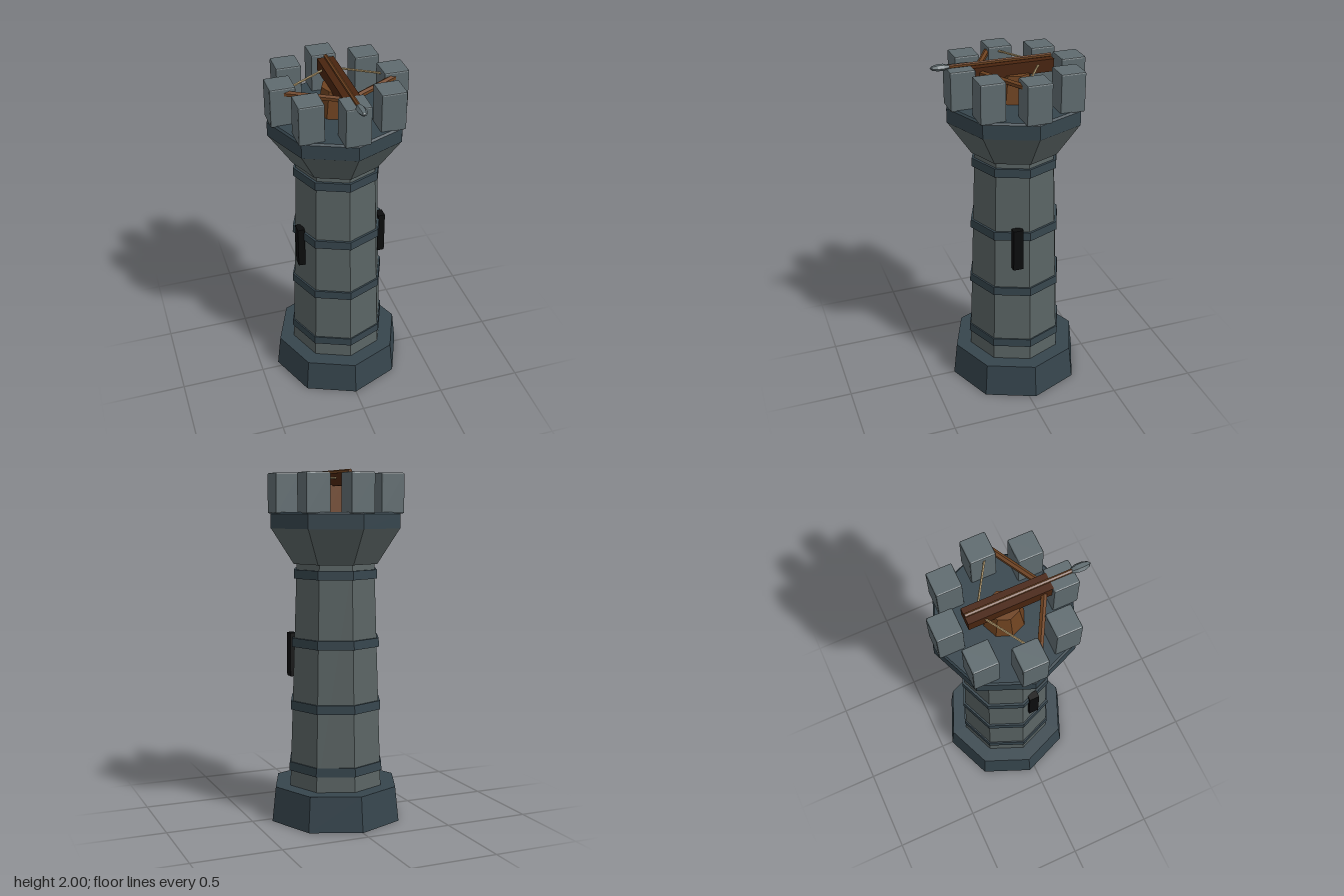
import * as THREE from 'three';
import { RoundedBoxGeometry } from 'three/addons/geometries/RoundedBoxGeometry.js';

const mat = (name, color) => {
  const m = new THREE.MeshStandardMaterial({ color, flatShading: true });
  m.name = name;
  return m;
};

export function createModel() {
  const stone = mat('stone', 0x5a6464);
  const paleStone = mat('pale stone', 0x5f6b6f);
  const slate = mat('dark slate', 0x36454d);
  const wood = mat('wood', 0x6e4220);
  const darkWood = mat('dark wood', 0x48240f);
  const rope = mat('rope', 0xc2a878);
  const black = mat('window black', 0x0b0c0d);

  const model = new THREE.Group();
  model.name = 'ballistaTower';
  // everything inside is laid out around the tower axis
  const tower = new THREE.Group();
  tower.name = 'tower';
  tower.position.z = -0.038;
  model.add(tower);

  const add = (name, geo, material, x = 0, y = 0, z = 0) => {
    const mesh = new THREE.Mesh(geo, material);
    mesh.name = name;
    mesh.position.set(x, y, z);
    tower.add(mesh);
    return mesh;
  };
  // eight-sided drum between two heights
  const drum = (name, material, y0, y1, r0, r1) =>
    add(name, new THREE.CylinderGeometry(r1, r0, y1 - y0, 8), material, 0, (y0 + y1) / 2, 0);
  // straight rod between two points
  const rod = (name, material, a, b, r, sides) => {
    const dir = b.clone().sub(a);
    const mesh = add(name, new THREE.CylinderGeometry(r, r, dir.length(), sides), material);
    mesh.position.copy(a).add(b).multiplyScalar(0.5);
    mesh.quaternion.setFromUnitVectors(new THREE.Vector3(0, 1, 0), dir.normalize());
    return mesh;
  };

  // masonry
  drum('base', slate, 0, 0.2, 0.392, 0.37);
  drum('shaft', stone, 0.19, 1.48, 0.281, 0.235);
  [[0.315, 0.286], [0.67, 0.276], [1.03, 0.266], [1.415, 0.253]].forEach(([y, r]) =>
    drum('band', slate, y - 0.025, y + 0.025, r, r - 0.002));
  drum('corbel', stone, 1.472, 1.67, 0.253, 0.385);
  drum('rim', slate, 1.67, 1.75, 0.387, 0.387);
  drum('deck', slate, 1.75, 1.76, 0.387, 0.377);

  // merlons stand square to the axes all around
  for (let i = 0; i < 8; i++) {
    const a = (i * Math.PI) / 4;
    add('merlon', new RoundedBoxGeometry(0.14, 0.22, 0.14, 1, 0.008), paleStone,
      Math.sin(a) * 0.311, 1.862, Math.cos(a) * 0.311);
  }

  // arrow slits on both sides
  for (const s of [1, -1])
    add('arrowSlit', new THREE.BoxGeometry(0.04, 0.25, 0.058), black, s * 0.24, 0.953, 0.068);

  // ballista on its pedestal
  drum('pedestal', wood, 1.755, 1.91, 0.112, 0.084);
  add('stock', new THREE.BoxGeometry(0.093, 0.07, 0.455), darkWood, 0, 1.937, 0.021);
  for (const s of [1, -1]) {
    rod('bowArm', wood, new THREE.Vector3(0, 1.937, 0.222), new THREE.Vector3(s * 0.31, 1.937, 0.05), 0.017, 6);
    rod('bowString', rope, new THREE.Vector3(s * 0.31, 1.945, 0.048), new THREE.Vector3(0, 1.945, -0.143), 0.006, 5);
  }
  rod('boltShaft', wood, new THREE.Vector3(0, 1.981, -0.205), new THREE.Vector3(0, 1.981, 0.4), 0.011, 6);
  const head = new THREE.SphereGeometry(1, 6, 5);
  head.rotateX(Math.PI / 2);
  head.scale(0.026, 0.018, 0.056);
  add('boltHead', head, paleStone, 0, 1.982, 0.412);

  return model;
}
